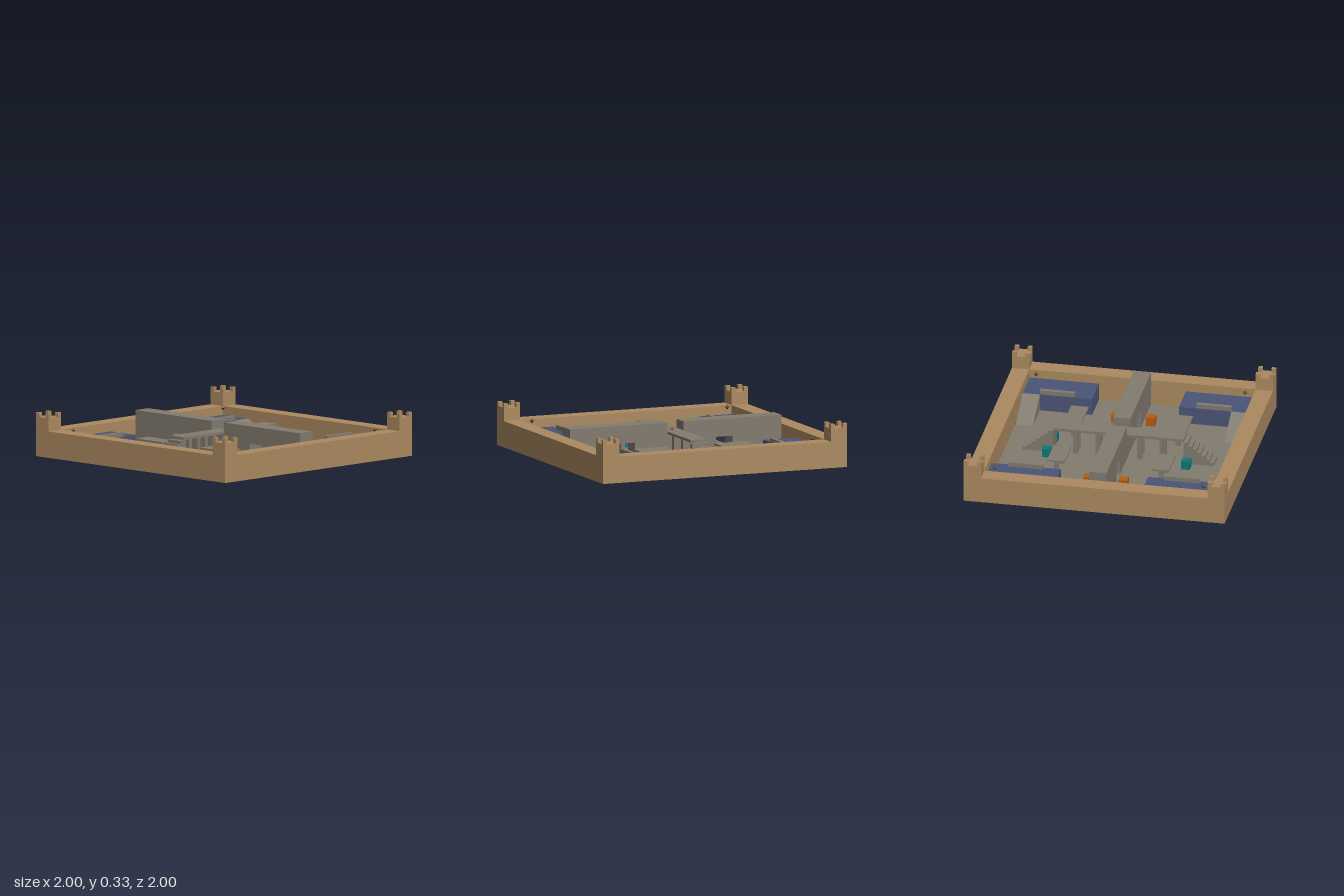
import * as THREE from 'three';

const mat = (name, color) => {
  const m = new THREE.MeshStandardMaterial({ color, side: THREE.DoubleSide });
  m.name = name;
  return m;
};

// Corner signs used to mirror everything into four quadrants
const QUADS = [[1, 1], [-1, 1], [-1, -1], [1, -1]];

// Drops the faces that lie on the ground, leaving hollow shells
function openBottom(geo) {
  const src = (geo.index ? geo.toNonIndexed() : geo).attributes.position;
  const out = [];
  for (let i = 0; i < src.count; i += 3) {
    const ids = [i, i + 1, i + 2];
    if (ids.every(k => Math.abs(src.getY(k)) < 1e-5)) continue;
    ids.forEach(k => out.push(src.getX(k), src.getY(k), src.getZ(k)));
  }
  const g = new THREE.BufferGeometry();
  g.setAttribute('position', new THREE.Float32BufferAttribute(out, 3));
  g.computeVertexNormals();
  return g;
}

// Box given by its centre in plan and its vertical range
function block(w, d, y0, y1, x, z) {
  const g = new THREE.BoxGeometry(w, y1 - y0, d);
  g.translate(x, (y0 + y1) / 2, z);
  return openBottom(g);
}

const poly = pts => new THREE.Shape(pts.map(p => new THREE.Vector2(p[0], p[1])));
const rect = (x0, y0, x1, y1) => poly([[x0, y0], [x1, y0], [x1, y1], [x0, y1]]);
const extrude = (shape, depth) => new THREE.ExtrudeGeometry(shape, { depth, bevelEnabled: false });

export function createModel() {
  const model = new THREE.Group();
  model.name = 'arena';
  const sand = mat('sandstone', 0xac8a60);
  const stone = mat('grey stone', 0x827b70);
  const blue = mat('blue platform', 0x4a5578);
  const orange = mat('orange crate', 0xb85c10);
  const teal = mat('teal crate', 0x0f7878);
  const brown = mat('brown marker', 0x5e4a36);

  const add = (name, geo, material) => {
    const m = new THREE.Mesh(geo, material);
    m.name = name;
    model.add(m);
    return m;
  };

  const IN = 0.867;   // inner face of the outer wall
  const HW = 0.067;   // half width of the middle wall and bridge

  // Outer wall ring
  const ring = rect(-1, -1, 1, 1);
  ring.holes.push(rect(-IN, -IN, IN, IN));
  add('outerWall', openBottom(extrude(ring, 0.2).rotateX(-Math.PI / 2)), sand);

  // Floor, cut away under the solid structures
  const q = [[0.467, HW], [IN, HW], [IN, 0.333], [0.6, 0.333], [0.6, 0.733], [0.333, 0.733], [0.333, IN]];
  const outline = QUADS.flatMap(([sx, sz], i) => {
    const pts = q.map(([x, z]) => [x * sx, z * sz]);
    return i % 2 ? pts.reverse() : pts;
  });
  const floor = poly(outline);
  floor.holes.push(rect(-0.333, -HW, 0.333, HW));
  floor.holes.push(rect(-HW, 0.5, HW, 0.733), rect(-HW, -0.733, HW, -0.5));
  add('floor', new THREE.ShapeGeometry(floor).rotateX(-Math.PI / 2), stone);

  // Middle wall with two doorways and a notch for the bridge
  const half = [[HW, 0.2], [HW, 0.267], [IN, 0.267], [IN, 0], [0.467, 0], [0.467, 0.133], [0.333, 0.133], [0.333, 0]];
  const mirrored = half.map(([x, y]) => [-x, y]).reverse();
  const wall = extrude(poly([...half, ...mirrored]), HW * 2).translate(0, 0, -HW);
  add('middleWall', openBottom(wall), stone);

  // Bridge with a staircase at each end
  add('bridge', block(HW * 2, 1, 0.18, 0.2, 0, 0), stone);
  const steps = 7, run = 0.233 / steps, rise = 0.025;
  const profile = [[0.5, 0], [0.733, 0]];
  for (let i = 0; i < steps; i++) {
    const z = 0.733 - i * run;
    profile.push([z, (i + 1) * rise], [z - run, (i + 1) * rise]);
  }
  const stairs = openBottom(extrude(poly(profile), HW * 2).translate(0, 0, -HW).rotateY(-Math.PI / 2));
  add('frontStairs', stairs, stone);
  add('backStairs', stairs, stone).rotation.y = Math.PI;

  for (const [sx, sz] of QUADS) {
    // Corner tower with four merlons
    add('tower', block(0.133, 0.133, 0, 0.3, sx * 0.9335, sz * 0.9335), sand);
    for (const [mx, mz] of QUADS) {
      add('merlon', block(0.032, 0.032, 0.3, 0.333, sx * 0.9335 + mx * 0.0505, sz * 0.9335 + mz * 0.0505), sand);
    }

    // Raised corner platform, its railing and its ramp
    add('platform', block(0.265, 0.532, 0, 0.133, sx * 0.7325, sz * 0.599), blue);
    add('railing', block(0.033, 0.266, 0.133, 0.167, sx * 0.6165, sz * 0.6), stone);
    const ramp = extrude(poly([[sx * 0.333, 0], [sx * 0.6, 0], [sx * 0.6, 0.133]]), 0.132);
    ramp.translate(0, 0, sz > 0 ? 0.733 : -0.865);
    add('ramp', openBottom(ramp), stone);

    // Low table on two legs
    add('tableTop', block(0.267, 0.133, 0.12, 0.133, sx * 0.333, sz * 0.4), stone);
    for (const dx of [-0.1, 0.1]) {
      add('tableLeg', block(0.033, 0.033, 0, 0.12, sx * 0.333 + dx, sz * 0.4), stone);
    }

    // Bridge pillars
    for (const z of [0.16, 0.33]) {
      add('bridgePillar', block(0.033, 0.033, 0, 0.18, sx * 0.045, sz * z), stone);
    }

    // Crates
    add('orangeCrate', block(0.067, 0.067, 0, 0.067, sx * 0.533, sz * 0.133), orange);
    add('tealCrate', block(0.067, 0.067, 0, 0.067, sx * 0.133, sz * 0.533), teal);
  }

  // Floating diamond markers
  for (const [x, z] of [[0, 0], ...QUADS]) {
    add('marker', new THREE.OctahedronGeometry(0.019), brown).position.set(x * 0.8, 0.2, z * 0.8);
  }

  return model;
}
